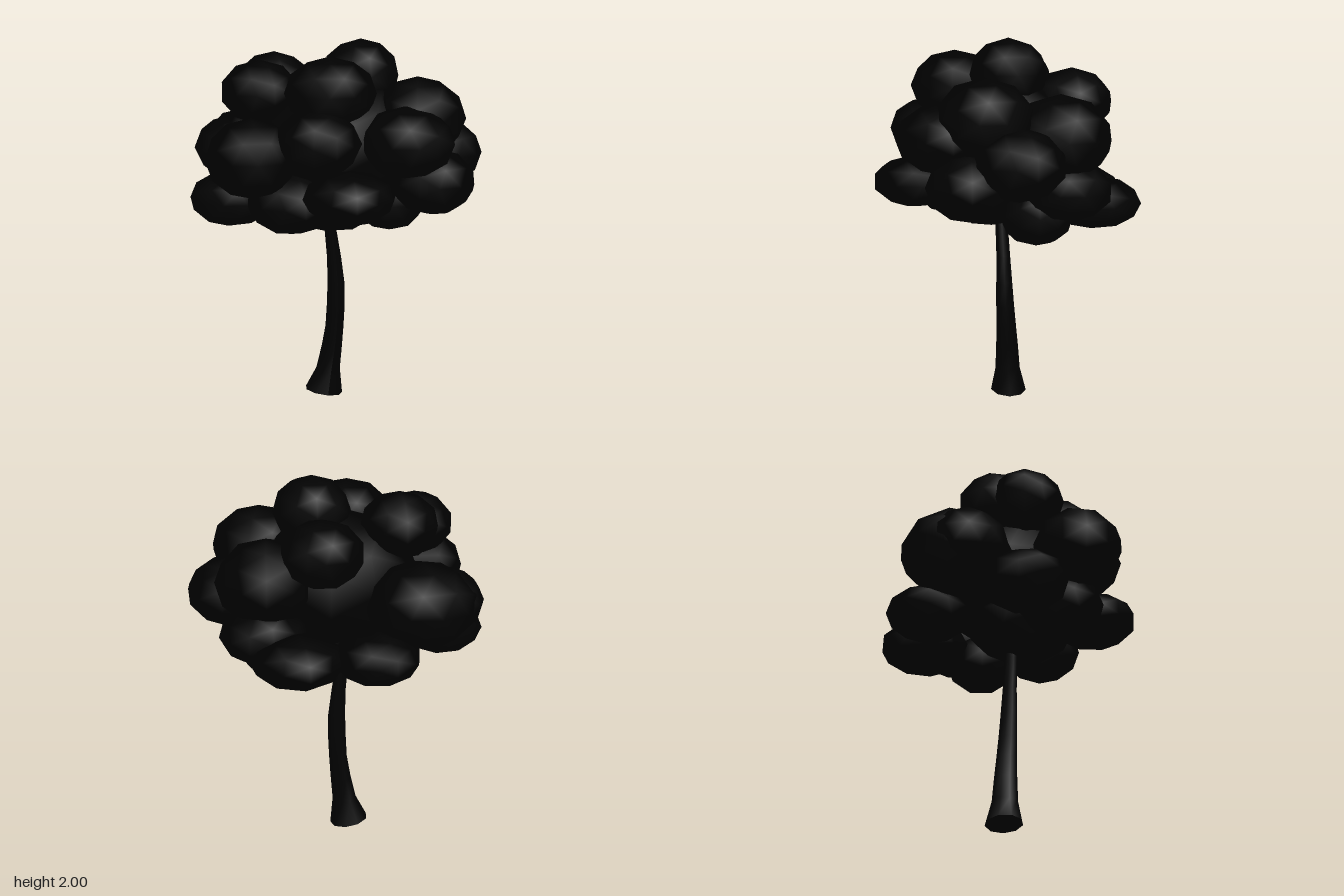
import * as THREE from 'three';

const material = new THREE.MeshStandardMaterial({ color: 0x000000 });

// Leaf clumps: centre x, y, z, horizontal radius, vertical radius
const CLUMPS = [
  // crown
  [0.13, 1.81, 0.00, 0.21, 0.19],
  [-0.10, 1.74, 0.24, 0.24, 0.19],
  [-0.31, 1.75, -0.15, 0.21, 0.18],
  [-0.42, 1.73, -0.01, 0.21, 0.17],
  [0.13, 1.66, -0.35, 0.22, 0.18],
  [0.39, 1.59, 0.19, 0.26, 0.22],
  // middle
  [-0.52, 1.42, 0.25, 0.24, 0.21],
  [-0.20, 1.50, 0.35, 0.23, 0.18],
  [0.27, 1.49, 0.37, 0.26, 0.19],
  [0.56, 1.38, 0.05, 0.24, 0.19],
  [0.40, 1.49, -0.21, 0.27, 0.23],
  [-0.38, 1.38, -0.38, 0.30, 0.23],
  [-0.49, 1.39, -0.35, 0.23, 0.18],
  // underside
  [-0.57, 1.16, -0.05, 0.23, 0.15],
  [-0.06, 1.23, 0.46, 0.24, 0.14],
  [-0.30, 1.17, 0.20, 0.24, 0.17],
  [0.45, 1.26, 0.28, 0.23, 0.18],
  [0.42, 1.22, -0.24, 0.24, 0.16],
  [0.33, 1.09, -0.10, 0.20, 0.17],
  [0.27, 1.13, -0.44, 0.25, 0.14],
  [-0.13, 1.14, -0.48, 0.23, 0.14],
  [-0.05, 1.17, 0.05, 0.30, 0.20],
  // core
  [0.00, 1.45, 0.00, 0.45, 0.37],
];

// Trunk sections: y, x min, x max, z min, z max
const SECTIONS = [
  [0.02, -0.17, 0.04, -0.15, 0.05],
  [0.15, -0.11, 0.025, -0.11, 0.03],
  [0.28, -0.08, 0.035, -0.095, 0.03],
  [0.40, -0.06, 0.042, -0.08, 0.032],
  [0.52, -0.055, 0.047, -0.067, 0.034],
  [0.65, -0.052, 0.045, -0.056, 0.034],
  [0.80, -0.055, 0.025, -0.047, 0.03],
  [0.97, -0.07, -0.005, -0.04, 0.03],
  [1.20, -0.10, -0.04, -0.04, 0.03],
];

function createTrunk() {
  const last = SECTIONS.length - 1;
  const geometry = new THREE.CylinderGeometry(1, 1, last, 9, last);
  const p = geometry.attributes.position;
  for (let i = 0; i < p.count; i++) {
    const row = Math.round(p.getY(i) + last / 2);
    const [y, x0, x1, z0, z1] = SECTIONS[row];
    const x = (x0 + x1) / 2 + p.getX(i) * (x1 - x0) / 2;
    const z = (z0 + z1) / 2 + p.getZ(i) * (z1 - z0) / 2;
    // the foot is cut at a slight slant
    const slant = row === 0 ? -0.17 * (x + 0.065) : 0;
    p.setXYZ(i, x, y + slant, z);
  }
  geometry.computeVertexNormals();
  const trunk = new THREE.Mesh(geometry, material);
  trunk.name = 'trunk';
  return trunk;
}

function createFoliage() {
  const foliage = new THREE.Group();
  foliage.name = 'foliage';
  const ball = new THREE.IcosahedronGeometry(1, 1);
  CLUMPS.forEach(([x, y, z, r, h], i) => {
    const clump = new THREE.Mesh(ball, material);
    clump.name = 'leafClump' + (i + 1);
    clump.position.set(x, y, z);
    clump.scale.set(r, h, r);
    clump.rotation.y = i * 1.3;
    foliage.add(clump);
  });
  return foliage;
}

export function createModel() {
  const tree = new THREE.Group();
  tree.name = 'tree';
  tree.add(createTrunk(), createFoliage());
  return tree;
}
